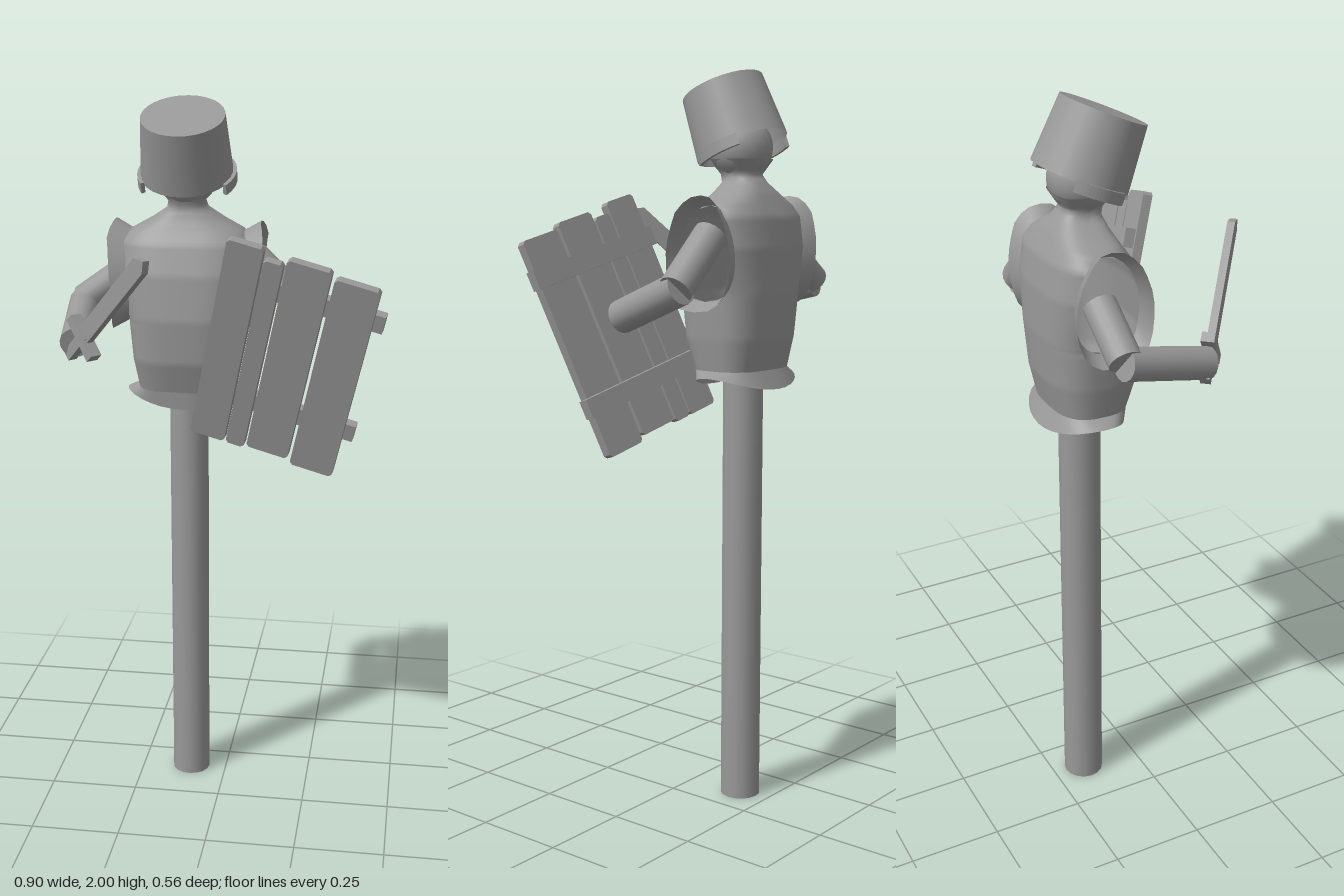
import * as THREE from 'three';
import { mergeVertices } from 'three/addons/utils/BufferGeometryUtils.js';

const V = (x, y, z) => new THREE.Vector3(x, y, z);
const CX = -0.105; // centre line of the dummy

// Grid surface from a rule fn(i, j) -> Vector3
function gridGeometry(rows, cols, fn, flip = false, base = { pos: [], idx: [] }) {
  const start = base.pos.length / 3;
  for (let i = 0; i <= rows; i++) for (let j = 0; j <= cols; j++) base.pos.push(...fn(i, j).toArray());
  for (let i = 0; i < rows; i++) for (let j = 0; j < cols; j++) {
    const a = start + i * (cols + 1) + j, b = a + 1, c = a + cols + 1, d = c + 1;
    base.idx.push(...(flip ? [a, c, b, b, c, d] : [a, b, c, b, d, c]));
  }
  return base;
}

function finish({ pos, idx }) {
  let g = new THREE.BufferGeometry();
  g.setAttribute('position', new THREE.Float32BufferAttribute(pos, 3));
  g.setIndex(idx);
  g = mergeVertices(g, 1e-4);
  g.computeVertexNormals();
  return g;
}

// Torso sections: height, half width, front z, back z
const SECTIONS = [
  [1.21, 0.135, -0.06, -0.25], [1.30, 0.15, -0.03, -0.27], [1.42, 0.16, -0.02, -0.28],
  [1.54, 0.185, -0.035, -0.278], [1.62, 0.18, -0.06, -0.265], [1.65, 0.155, -0.08, -0.25],
  [1.68, 0.10, -0.095, -0.235], [1.71, 0.055, -0.105, -0.215], [1.73, 0.05, -0.10, -0.20],
  [1.77, 0.078, -0.075, -0.225],
];
function section(y) {
  let k = 0;
  while (k < SECTIONS.length - 2 && y > SECTIONS[k + 1][0]) k++;
  const p = SECTIONS[k], q = SECTIONS[k + 1];
  const t = (y - p[0]) / (q[0] - p[0]);
  const [rx, f, b] = [1, 2, 3].map((n) => p[n] + (q[n] - p[n]) * t);
  return { rx, zc: (f + b) / 2, rz: (f - b) / 2 };
}
const HOLE_Y = 1.525, HOLE_R = 0.125;
const holeAngle = (y) => 0.66 * Math.sqrt(Math.max(0, 1 - ((y - HOLE_Y) / HOLE_R) ** 2));
function torsoPoint(y, t, s) {
  const { rx, zc, rz } = section(y), c = Math.cos(t), n = Math.max(0, Math.sin(t));
  return V(CX + rx * Math.sign(c) * Math.abs(c) ** 0.7, y, zc + s * rz * n ** 0.7);
}

export function createModel() {
  const model = new THREE.Group();
  const grey = new THREE.MeshStandardMaterial({ color: 0x999999, side: THREE.DoubleSide });
  grey.name = 'grey';
  const add = (name, geometry, parent = model) => {
    const m = new THREE.Mesh(geometry, grey);
    m.name = name;
    parent.add(m);
    return m;
  };
  const rod = (name, from, to, r) => {
    const m = add(name, new THREE.CylinderGeometry(r, r, from.distanceTo(to), 16));
    m.position.copy(from).add(to).multiplyScalar(0.5);
    m.quaternion.setFromUnitVectors(V(0, 1, 0), to.clone().sub(from).normalize());
  };

  // Post
  rod('post', V(CX, 0, -0.16), V(CX, 1.26, -0.16), 0.055);

  // Hollow torso: front and back shells that part around the armholes
  const shell = { pos: [], idx: [] };
  for (const s of [1, -1]) {
    gridGeometry(56, 20, (i, j) => {
      const y = 1.21 + 0.01 * i, a = holeAngle(y);
      return torsoPoint(y, a + (Math.PI - 2 * a) * j / 20, s);
    }, s > 0, shell);
  }
  add('torso', finish(shell));

  // Flared hem
  add('hem', finish(gridGeometry(1, 32, (i, j) => {
    const t = j / 32 * Math.PI * 2, c = Math.cos(t), n = Math.sin(t);
    return i ? V(CX + 0.175 * c, 1.165 + 0.035 * c * c, -0.17 + 0.107 * n)
      : torsoPoint(1.215, Math.atan2(Math.abs(n), c), n < 0 ? -1 : 1);
  })));

  // Flared armhole rims
  for (const side of [1, -1]) {
    add(side > 0 ? 'leftArmholeRim' : 'rightArmholeRim', finish(gridGeometry(1, 24, (i, j) => {
      const phi = j / 24 * Math.PI * 2, y = HOLE_Y + HOLE_R * Math.sin(phi), a = holeAngle(y);
      const p = torsoPoint(y, side > 0 ? a : Math.PI - a, Math.cos(phi) < 0 ? -1 : 1);
      if (i) p.set(p.x + side * 0.045, HOLE_Y + (y - HOLE_Y) * 1.2, -0.16 + (p.z + 0.16) * 1.2);
      return p;
    }, side < 0)));
  }

  // Arms
  rod('leftUpperArm', V(0.07, 1.575, -0.18), V(0.215, 1.44, -0.18), 0.045);
  rod('leftForearm', V(0.205, 1.445, -0.19), V(0.18, 1.36, 0.03), 0.045);
  rod('rightUpperArm', V(-0.27, 1.535, -0.182), V(-0.405, 1.44, -0.182), 0.043);
  rod('rightForearm', V(-0.405, 1.435, -0.185), V(-0.375, 1.375, 0.06), 0.042);

  // Head under a bucket helmet that tips forward
  add('head', new THREE.SphereGeometry(0.085, 20, 14)).position.set(CX, 1.8, -0.147);
  const helmet = new THREE.Group();
  helmet.name = 'helmet';
  helmet.position.set(CX, 1.878, -0.118);
  helmet.rotation.x = 0.4;
  model.add(helmet);
  add('bucketWall', new THREE.CylinderGeometry(0.112, 0.125, 0.17, 28, 1, true), helmet);
  const lid = add('bucketLid', new THREE.CircleGeometry(0.112, 28), helmet);
  lid.rotation.x = -Math.PI / 2;
  lid.position.y = 0.085;
  for (const side of [1, -1]) {
    // Curved cheek strips with a little thickness
    const strip = new THREE.Shape();
    strip.absarc(0, 0, 0.134, -0.55, 0.55, false);
    strip.absarc(0, 0, 0.123, 0.55, -0.55, true);
    const g = new THREE.ExtrudeGeometry(strip, { depth: 0.03, bevelEnabled: false, curveSegments: 8 });
    g.rotateX(Math.PI / 2);
    if (side < 0) g.rotateY(Math.PI);
    add('cheekStrip', g, helmet).position.y = -0.078;
  }

  // Wooden sword: local y runs along the blade, x across its width
  const sword = new THREE.Group();
  sword.name = 'sword';
  const along = V(0.25, 0.3, 0.22).normalize();
  const thick = along.clone().cross(V(0, 1, 0)).normalize();
  const wide = along.clone().cross(thick);
  sword.quaternion.setFromRotationMatrix(new THREE.Matrix4().makeBasis(wide, along, thick));
  sword.position.set(-0.392, 1.34, 0.045);
  model.add(sword);
  const blade = new THREE.Shape([[-0.024, 0.09], [0.024, 0.09], [0.024, 0.425], [0.004, 0.45], [-0.024, 0.425]]
    .map(([x, y]) => new THREE.Vector2(x, y)));
  add('blade', new THREE.ExtrudeGeometry(blade, { depth: 0.02, bevelEnabled: false }), sword).position.z = -0.01;
  add('grip', new THREE.BoxGeometry(0.03, 0.11, 0.026), sword).position.y = 0.05;
  add('guard', new THREE.BoxGeometry(0.13, 0.026, 0.034), sword).position.y = 0.085;

  // Plank shield: local origin at its top left corner, y up along the planks
  const shield = new THREE.Group();
  shield.name = 'shield';
  const up = V(0.21, 0.93, 0.31).normalize();
  const facing = V(0.95, -0.29, 0.07).cross(up).normalize();
  const across = up.clone().cross(facing);
  shield.quaternion.setFromRotationMatrix(new THREE.Matrix4().makeBasis(across, up, facing));
  shield.position.set(0.178, 1.344, 0.043).addScaledVector(across, -0.205).addScaledVector(up, 0.305);
  model.add(shield);
  const CUT = 0.008; // clipped plank corners
  for (const [x0, x1, top, bottom] of [[0, 0.098, 0, -0.61], [0.103, 0.155, -0.028, -0.61],
    [0.162, 0.28, -0.008, -0.602], [0.29, 0.41, -0.022, -0.615]]) {
    const s = new THREE.Shape([[x0 + CUT, bottom], [x1 - CUT, bottom], [x1, bottom + CUT], [x1, top - CUT],
      [x1 - CUT, top], [x0 + CUT, top], [x0, top - CUT], [x0, bottom + CUT]]
      .map(([x, y]) => new THREE.Vector2(x, y)));
    add('plank', new THREE.ExtrudeGeometry(s, { depth: 0.026, bevelEnabled: false }), shield).position.z = -0.013;
  }
  for (const y of [-0.125, -0.475]) {
    add('crossbar', new THREE.BoxGeometry(0.43, 0.05, 0.028), shield).position.set(0.222, y, -0.027);
  }
  return model;
}
